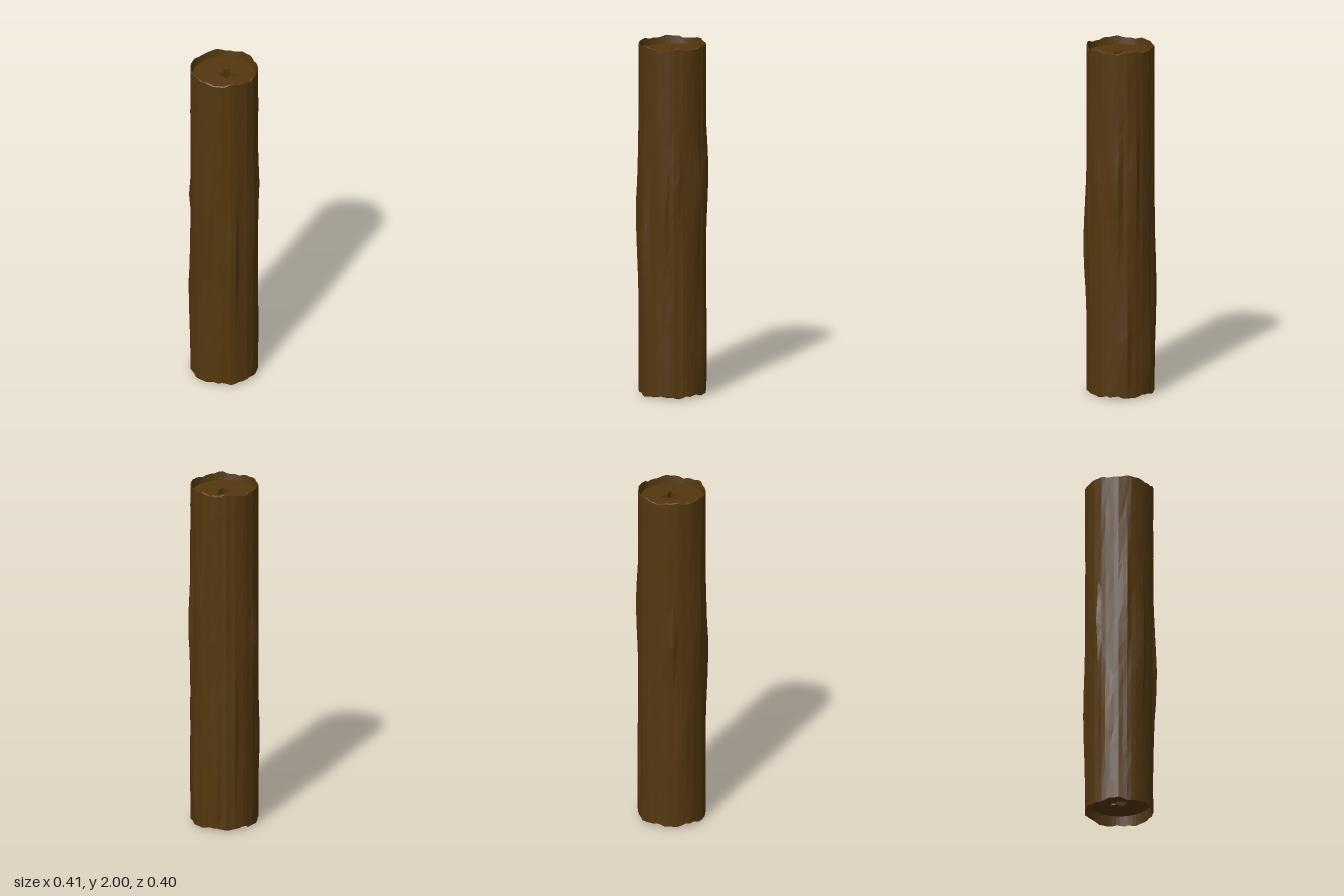
import * as THREE from 'three';

const SIDES = 48;
const TOP = 1.95, BOTTOM = 0.07, CORE = 0.176;

// Seeded random numbers
function seeded(seed) {
  return () => {
    seed = (seed * 16807) % 2147483647;
    return seed / 2147483647;
  };
}

// Skin a stack of closed rings of [x, y, z] points
function loft(rings) {
  const n = rings[0].length, index = [];
  for (let i = 0; i < rings.length - 1; i++) {
    for (let j = 0; j < n; j++) {
      const a = i * n + j, b = i * n + (j + 1) % n;
      index.push(a, b, b + n, a, b + n, a + n);
    }
  }
  const geo = new THREE.BufferGeometry();
  geo.setAttribute('position', new THREE.Float32BufferAttribute(rings.flat(2), 3));
  geo.setIndex(index);
  geo.computeVertexNormals();
  return geo;
}

// Bark swellings: [x, z, height, amount, half length]
const SWELLS = [
  [-0.2, 0.03, 1.12, 0.017, 0.14], [0, 0.2, 1.0, 0.015, 0.3], [0.15, 0.16, 0.85, 0.024, 0.3],
  [0.2, 0.03, 1.05, 0.013, 0.3], [0.2, -0.05, 1.25, 0.015, 0.2], [0.13, -0.17, 1.2, 0.02, 0.25],
  [0.03, -0.2, 1.25, 0.016, 0.25], [-0.08, -0.18, 0.3, 0.012, 0.25], [-0.15, -0.12, 0.6, 0.012, 0.3],
  [-0.17, 0.09, 0.5, 0.012, 0.25], [-0.1, 0.17, 1.3, 0.012, 0.3], [0.08, -0.18, 0.3, 0.014, 0.2],
].map(([x, z, y, amount, len]) => ({ a: Math.atan2(x, z), y, amount, len }));

// Each swelling is gentle on one side and steep on the other, like split bark
function barkRadius(angle, y) {
  let r = 0.189;
  for (const s of SWELLS) {
    const d = Math.atan2(Math.sin(angle - s.a), Math.cos(angle - s.a));
    const w = d > 0 ? 0.07 : 0.22;
    r += s.amount * Math.exp(-((d / w) ** 2) - ((y - s.y) / s.len) ** 2);
  }
  return r;
}

function barkGeometry() {
  const rand = seeded(77);
  const rough = Array.from({ length: SIDES }, () => (rand() - 0.5) * 0.005);
  const ring = (fn) => Array.from({ length: SIDES }, (_, j) => {
    const a = (j / SIDES) * Math.PI * 2;
    const [r, y] = fn(a, j);
    return [Math.sin(a) * r, y, Math.cos(a) * r];
  });
  // Uneven broken lip at either end
  const lip = () => Array.from({ length: SIDES }, (_, j) =>
    0.009 + 0.006 * Math.sin(j * 0.8) + 0.003 * Math.sin(j * 2.1) + (rand() - 0.5) * 0.005);
  const low = lip(), high = lip();
  const rings = [
    ring(() => [CORE, BOTTOM]),
    ring((a, j) => [0.182, low[j]]),
    ring((a, j) => [0.189 + rough[j], low[j] + 0.004]),
  ];
  for (let y = 0.12; y < 1.9; y += 0.11) {
    rings.push(ring((a, j) => {
      const yy = y + (rand() - 0.5) * 0.07;
      return [barkRadius(a, yy) + rough[j] + (rand() - 0.5) * 0.002, yy];
    }));
  }
  rings.push(
    ring((a, j) => [0.189 + rough[j], 1.996 - high[j]]),
    ring((a, j) => [0.182, 2 - high[j]]),
    ring(() => [CORE, TOP]),
  );
  return loft(rings);
}

// Star-shaped rot hole as [x, z], slightly narrower at the bottom
const HOLE_TOP = [[0.003, -0.065], [0.025, -0.025], [0.083, -0.018], [0.04, -0.002],
  [0.033, 0.033], [-0.03, 0.01], [-0.01, -0.015], [-0.025, -0.035]];
const HOLE_BOTTOM = [[-0.01, -0.05], [0, -0.03], [0.055, -0.01], [0.04, -0.002],
  [0.033, 0.033], [-0.03, 0.01], [-0.01, -0.015], [-0.025, -0.035]];

// Sawn face with the hole cut out; side is 1 for up, -1 for down
function endGeometry(points, y, side) {
  const shape = new THREE.Shape().absarc(0, 0, CORE + 0.001, 0, Math.PI * 2);
  shape.holes.push(new THREE.Path(points.map(([x, z]) => new THREE.Vector2(x, -z * side))));
  return new THREE.ShapeGeometry(shape, SIDES / 2)
    .rotateX(-side * Math.PI / 2)
    .translate(0, y, 0);
}

export function createModel() {
  const group = new THREE.Group();
  group.name = 'log';
  const wood = new THREE.MeshStandardMaterial({ color: 0x54370f, flatShading: true });
  const add = (name, geo) => {
    const mesh = new THREE.Mesh(geo, wood);
    mesh.name = name;
    group.add(mesh);
  };

  add('bark', barkGeometry());
  add('topEnd', endGeometry(HOLE_TOP, TOP, 1));
  add('bottomEnd', endGeometry(HOLE_BOTTOM, BOTTOM, -1));

  // Walls of the hole, facing inward
  add('hole', loft([[HOLE_BOTTOM, BOTTOM], [HOLE_TOP, TOP]]
    .map(([pts, y]) => pts.map(([x, z]) => [x, y, z]))));
  return group;
}
